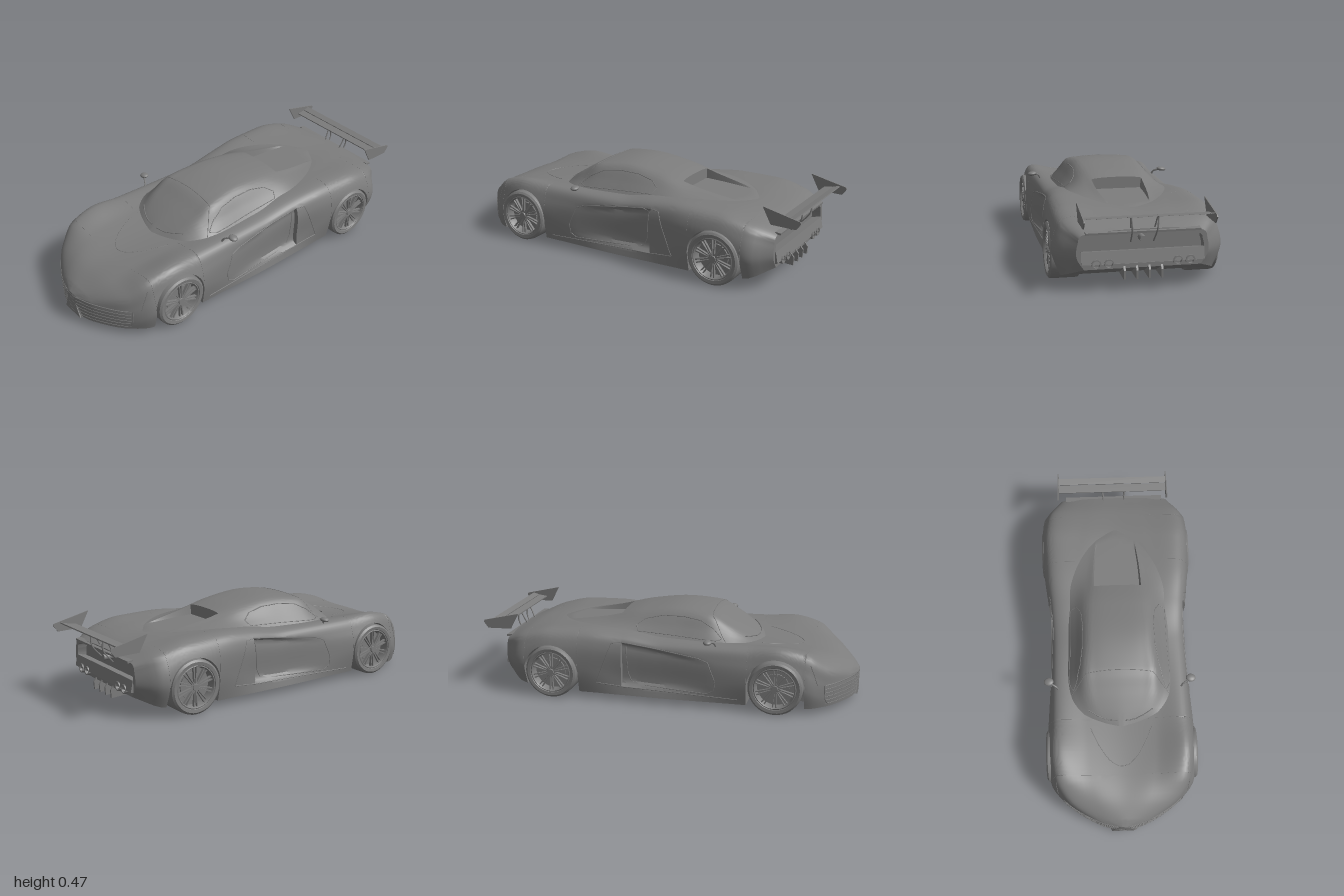
import * as THREE from 'three';
import { toCreasedNormals } from 'three/addons/utils/BufferGeometryUtils.js';

const paint = new THREE.MeshStandardMaterial({ color: 0x7c7c7c, side: THREE.DoubleSide });
const V = (x, y, z) => new THREE.Vector3(x, y, z);
const V2 = p => new THREE.Vector2(...p);
const ARCH = 0.147, AXLE_Y = 0.14, AXLES = [0.6, -0.59], WELL_X = 0.25;

// Half sections of the shell: z, then x,y of sill, waist, shoulder, crest, inner deck, and centre height
const BODY = [
  [0.998, 0.03, 0.04, 0.03, 0.09, 0.03, 0.15, 0.025, 0.156, 0.015, 0.162, 0.165],
  [0.963, 0.13, 0.037, 0.135, 0.09, 0.135, 0.15, 0.115, 0.172, 0.07, 0.19, 0.198],
  [0.85, 0.295, 0.035, 0.307, 0.09, 0.307, 0.16, 0.28, 0.235, 0.15, 0.258, 0.255],
  [0.75, 0.36, 0.035, 0.382, 0.13, 0.368, 0.225, 0.325, 0.307, 0.17, 0.288, 0.276],
  [0.6, 0.375, 0.035, 0.398, 0.16, 0.387, 0.26, 0.335, 0.336, 0.18, 0.304, 0.291],
  [0.45, 0.375, 0.035, 0.392, 0.15, 0.38, 0.25, 0.33, 0.326, 0.18, 0.31, 0.3],
  [0, 0.385, 0.035, 0.37, 0.12, 0.366, 0.25, 0.33, 0.32, 0.2, 0.335, 0.325],
  [-0.2, 0.383, 0.035, 0.375, 0.13, 0.377, 0.27, 0.335, 0.345, 0.2, 0.355, 0.33],
  [-0.4, 0.38, 0.035, 0.4, 0.16, 0.397, 0.29, 0.345, 0.362, 0.2, 0.362, 0.335],
  [-0.6, 0.38, 0.035, 0.417, 0.17, 0.405, 0.295, 0.345, 0.358, 0.18, 0.354, 0.345],
  [-0.76, 0.37, 0.06, 0.411, 0.17, 0.39, 0.27, 0.335, 0.325, 0.16, 0.33, 0.328],
  [-0.872, 0.28, 0.11, 0.315, 0.17, 0.31, 0.235, 0.285, 0.277, 0.15, 0.292, 0.295],
];
// Cabin: z, base x,y, roof edge x,y, roof height
const CABIN = [
  [0.49, 0.12, 0.28, 0.06, 0.29, 0.298],
  [0.42, 0.235, 0.3, 0.145, 0.332, 0.345],
  [0.32, 0.288, 0.303, 0.18, 0.39, 0.405],
  [0.22, 0.292, 0.305, 0.187, 0.437, 0.455],
  [0.05, 0.29, 0.308, 0.176, 0.448, 0.472],
  [-0.15, 0.295, 0.322, 0.172, 0.427, 0.45],
  [-0.35, 0.32, 0.345, 0.165, 0.382, 0.402],
  [-0.55, 0.3, 0.343, 0.14, 0.352, 0.362],
  [-0.72, 0.26, 0.31, 0.1, 0.322, 0.327],
].map(([z, bx, by, ex, ey, top]) =>
  [z, bx, by, (bx + ex) / 2, (by + ey) / 2, ex, ey, ex * 0.65, top - 0.005, top]);

// Monotone cubic interpolation of column k at z
function interp(rows, z, k) {
  const last = rows.length - 1;
  let i = 0;
  while (i < last - 1 && z < rows[i + 1][0]) i++;
  const d = j => (rows[j + 1][k] - rows[j][k]) / (rows[j + 1][0] - rows[j][0]);
  const m = j => {
    const a = d(Math.max(j - 1, 0)), b = d(Math.min(j, last - 1));
    return a * b > 0 ? 2 * a * b / (a + b) : 0;
  };
  const h = rows[i + 1][0] - rows[i][0], s = (z - rows[i][0]) / h, s2 = s * s, s3 = s2 * s;
  return (2 * s3 - 3 * s2 + 1) * rows[i][k] + (s3 - 2 * s2 + s) * h * m(i)
    + (3 * s2 - 2 * s3) * rows[i + 1][k] + (s3 - s2) * h * m(i + 1);
}
// Smooth half section at z, t = 0 at the sill and 1 on the centre line
const sections = (rows, tweak) => z => {
  const w = rows[0].length, pts = [];
  for (let k = 1; k < w - 1; k += 2) pts.push(V2([interp(rows, z, k), interp(rows, z, k + 1)]));
  const p = pts[pts.length - 1];
  pts.push(V2([0, interp(rows, z, w - 1)]), V2([-p.x, p.y]));
  const spline = new THREE.SplineCurve(pts), n = pts.length - 1;
  return t => tweak(spline.getPoint(t * (n - 1) / n), z, t);
};
const step = THREE.MathUtils.smoothstep;
// Door hollow that deepens towards a side intake
const body = sections(BODY, (p, z) => {
  const top = 0.275 - (z - 0.05) * 0.14;
  if (z < 0.27 && z > -0.21)
    p.x -= 0.025 * step(p.y, 0.08, 0.1) * (1 - step(p.y, top - 0.012, top + 0.01)) * Math.min(1, (0.27 - z) / 0.4);
  return p;
});
// Sunken engine intake behind the roof
const cabin = sections(CABIN, (p, z, t) => {
  if (z < -0.27 && z > -0.62 && t > 0.69) p.y = Math.min(p.y, 0.362 + (z + 0.27) * 0.03);
  return p;
});
// Parameter where a section reaches a value on one axis
function findT(curve, axis, value, lo, hi) {
  const rising = curve(hi)[axis] > curve(lo)[axis];
  for (let i = 0; i < 24; i++) {
    const mid = (lo + hi) / 2;
    if ((curve(mid)[axis] < value) === rising) lo = mid; else hi = mid;
  }
  return lo;
}
const onSide = (surf, z, y, hi = 0.6) => { const c = surf(z); return V(c(findT(c, 'y', y, 0, hi)).x, y, z); };
const onTop = (surf, z, x, lo = 0.5) => { const c = surf(z); return V(x, c(findT(c, 'x', Math.abs(x), lo, 1)).y, z); };
const range = (a, b, n) => Array.from({ length: n + 1 }, (_, i) => a + (b - a) * i / n);
// Polyline in z,y subdivided so that it follows a surface
const dense = pts => pts.slice(0, -1).flatMap(([z, y], i) =>
  range(0, 0.9, 9).map(s => [z + (pts[i + 1][0] - z) * s, y + (pts[i + 1][1] - y) * s]));

// Closed skin through the sections; the shell also gets wheel wells and a hollow tail
function loft(surf, stations, columns, isShell) {
  const rings = [...stations].sort((a, b) => b - a).map(z => {
    const c = surf(z), start = c(0), axle = AXLES.find(a => isShell && Math.abs(z - a) < ARCH);
    let t0 = 0, edge = start.x, top = start.y;
    if (axle !== undefined) {
      top = AXLE_Y + Math.sqrt(ARCH ** 2 - (z - axle) ** 2);
      t0 = findT(c, 'y', top, 0, 0.6);
      edge = WELL_X;
    }
    const half = [V(0, start.y, z), V(edge, start.y, z), V(edge, top, z)];
    for (const t of range(t0, 1, columns)) half.push(V(c(t).x, c(t).y, z));
    return half.concat(half.slice(0, -1).reverse().map(p => V(-p.x, p.y, p.z)));
  });
  if (isShell) for (const depth of [0, 0.05])
    rings.push(rings[stations.length - 1].map(p => V(p.x * 0.93, 0.21 + (p.y - 0.21) * 0.78, p.z + depth)));
  const flat = ring => ring.map(p => V(0, p.y, p.z));
  const all = [flat(rings[0]), ...rings, flat(rings[rings.length - 1])], n = rings[0].length, index = [];
  for (let i = 0; i < all.length - 1; i++)
    for (let j = 0; j < n - 1; j++) {
      const a = i * n + j, c = a + n;
      index.push(a, c, a + 1, a + 1, c, c + 1);
    }
  const g = new THREE.BufferGeometry().setFromPoints(all.flat());
  g.setIndex(index);
  return toCreasedNormals(g, 0.6);
}
const lathe = pts => toCreasedNormals(new THREE.LatheGeometry(pts.map(V2), 40), 0.6);
const adder = group => (name, geo) => {
  const m = new THREE.Mesh(geo, paint);
  m.name = name;
  group.add(m);
  return m;
};
function wheel(width) {
  const g = new THREE.Group(), h = width / 2, add = adder(g), q = -Math.PI / 2;
  add('tyre', lathe([[0.1, -h], [0.128, -h], [0.138, -h + 0.008], [0.14, -h + 0.02], [0.14, h - 0.02],
    [0.138, h - 0.008], [0.128, h], [0.112, h - 0.002], [0.11, h - 0.006]]).rotateZ(q));
  add('rim', lathe([[0.11, h - 0.006], [0.105, h - 0.004], [0.1, h - 0.012], [0.097, h - 0.05], [0, h - 0.05]]).rotateZ(q));
  add('innerFace', lathe([[0.1, -h], [0, -h + 0.01]]).rotateZ(q));
  add('brakeDisc', new THREE.CylinderGeometry(0.07, 0.07, 0.008, 32).rotateZ(q).translate(h - 0.042, 0, 0));
  add('hub', new THREE.CylinderGeometry(0.016, 0.022, 0.02, 20).rotateZ(q).translate(h - 0.016, 0, 0));
  for (let i = 0; i < 10; i++)
    for (const s of [-1, 1])
      add('spoke', new THREE.BoxGeometry(0.014, 0.09, 0.006).rotateX(s * 0.06).translate(h - 0.018, 0.058, s * 0.006))
        .rotation.x = i * Math.PI / 5;
  return g;
}

export function createModel() {
  const car = new THREE.Group(), add = adder(car);
  const box = (name, w, h, d, x, y, z, tilt = 0) =>
    add(name, new THREE.BoxGeometry(w, h, d).rotateX(tilt).translate(x, y, z));
  const rod = (name, pts, r = 0.002, closed = false) => add(name, new THREE.TubeGeometry(
    new THREE.CatmullRomCurve3(pts, closed, 'centripetal'), Math.max(24, pts.length * 2), r, 6, closed));
  // Flat plate drawn in z,y and given a thickness in x
  const plate = (name, pts, x, t) => add(name, new THREE.ExtrudeGeometry(new THREE.Shape(pts.map(V2)),
    { depth: t, bevelEnabled: false }).rotateY(-Math.PI / 2).translate(x + t / 2, 0, 0));
  const flip = pts => pts.map(p => V(-p.x, p.y, p.z));
  const pair = (name, pts, r, closed) => [pts, flip(pts)].forEach(p => rod(name, p, r, closed));

  // Shell and cabin
  const archZ = AXLES.flatMap(a => [...range(0.05, Math.PI - 0.05, 20).map(q => a + ARCH * Math.cos(q)),
    ...[-1, 1].flatMap(s => [a + s * (ARCH + 0.0005), a + s * (ARCH - 0.0003)])]);
  add('bodyShell', loft(body, [...range(0.998, -0.872, 74), ...range(0.994, 0.94, 9), ...archZ, -0.2095, -0.2105], 36, true));
  add('cabin', loft(cabin, [...range(0.49, -0.72, 56), -0.2695, -0.2705], 36, false));

  // Wheels
  AXLES.forEach((z, i) => [1, -1].forEach(s => {
    const w = wheel(i ? 0.155 : 0.137);
    w.name = i ? 'rearWheel' : 'frontWheel';
    w.position.set(s * (i ? 0.34 : 0.332), AXLE_Y, z);
    if (s < 0) w.rotation.y = Math.PI;
    car.add(w);
  }));

  // Grille slats wrapped round the nose, their end frames, and the central wedge
  for (const y of [0.052, 0.072, 0.092, 0.112, 0.132, 0.152]) {
    const side = range(0, 1, 12).map(s => onSide(body, 0.996 - 0.148 * s * s, y));
    rod('grilleSlat', [...side.slice().reverse(), ...flip(side)], y > 0.15 ? 0.003 : 0.0018);
  }
  pair('grilleEnd', dense([[0.842, 0.152], [0.846, 0.08], [0.86, 0.045]]).map(p => onSide(body, ...p)), 0.003);
  const wedge = new THREE.Shape([[-0.015, 0.152], [-0.065, 0.035], [0.065, 0.035], [0.015, 0.152]].map(V2));
  add('noseWedge', new THREE.ExtrudeGeometry(wedge, { depth: 0.03, bevelEnabled: false }).translate(0, 0, 0.967));
  pair('wedgeStrut', [V(0.018, 0.15, 0.995), V(0.067, 0.036, 0.985)], 0.005);

  // Panel seams
  rod('bonnetSeam', range(-1, 1, 30).map(s => onTop(body, 0.7 - 0.2 * s * s, 0.16 * s)));
  pair('wingSeam', dense([[0.81, 0.16], [0.79, 0.22], [0.77, 0.27]]).map(p => onSide(body, ...p)));
  pair('doorSeam', dense([[0.25, 0.245], [0.29, 0.15], [0.285, 0.1], [0.25, 0.08], [-0.08, 0.092], [-0.16, 0.105],
    [-0.18, 0.15], [-0.19, 0.295], [-0.165, 0.312], [0.2, 0.262], [0.25, 0.245]]).map(p => onSide(body, ...p)), 0.0025, true);
  pair('intakeEdge', dense([[-0.212, 0.318], [-0.26, 0.315], [-0.345, 0.095], [-0.2, 0.08], [0.3, 0.065], [0.42, 0.06]])
    .map(p => onSide(body, ...p)), 0.0025);
  pair('windowSeam', dense([[0.3, 0.34], [0.25, 0.385], [0.18, 0.42], [0.08, 0.433], [-0.03, 0.43], [-0.12, 0.41], [-0.165, 0.38],
    [-0.15, 0.355], [0.05, 0.345], [0.27, 0.332], [0.3, 0.34]]).map(p => onSide(cabin, ...p, 0.5)), 0.0022, true);
  rod('windscreenTop', range(-1, 1, 24).map(s => onTop(cabin, 0.225 + 0.012 * s * s, 0.175 * s, 0)), 0.002);
  pair('screenPillarSeam', range(0, 1, 16).map(s => onTop(cabin, 0.237 + 0.085 * s, 0.175 + 0.085 * s, 0)));
  pair('wiper', [[0.462, 0.02], [0.455, 0.07], [0.435, 0.12], [0.405, 0.17]]
    .map(([z, x]) => onTop(cabin, z, x, 0).add(V(0, 0.004, 0.003))), 0.003);

  // Door mirrors
  for (const s of [1, -1]) {
    rod('mirrorArm', [V(s * 0.325, 0.315, 0.285), V(s * 0.34, 0.342, 0.275), V(s * 0.375, 0.352, 0.255)], 0.005);
    add('mirror', new THREE.SphereGeometry(1, 20, 14).scale(0.026, 0.012, 0.022).rotateZ(-s * 0.12)
      .translate(s * 0.378, 0.355, 0.25));
  }

  // Rear wing
  box('wingBlade', 0.615, 0.006, 0.045, -0.007, 0.362, -0.9, 0.12);
  box('wingFlap', 0.615, 0.006, 0.036, -0.007, 0.371, -0.943, 0.25);
  for (const s of [1, -1]) {
    plate('wingEndPlate', [[-0.8, 0.42], [-0.995, 0.375], [-1, 0.365], [-0.975, 0.332], [-0.845, 0.335]], s * 0.308 - 0.007, 0.006);
    rod('wingSupport', [V(s * 0.055, 0.28, -0.85), V(s * 0.06, 0.315, -0.868), V(s * 0.065, 0.362, -0.89)], 0.004);
    rod('wingBrace', [V(s * 0.055, 0.23, -0.85), V(s * 0.06, 0.3, -0.905), V(s * 0.065, 0.362, -0.905)], 0.004);
  }

  // Tail lip, bumper, lamp, exhausts and diffuser
  box('tailLip', 0.55, 0.01, 0.03, 0, 0.285, -0.873, -0.12);
  box('tailBumper', 0.59, 0.06, 0.05, 0, 0.162, -0.856, 0.2);
  add('tailLamp', new THREE.CylinderGeometry(0.016, 0.016, 0.05, 20).rotateX(Math.PI / 2).translate(0, 0.245, -0.85));
  for (const x of [-0.225, -0.165, 0.165, 0.225])
    add('exhaust', lathe([[0, 0.03], [0.017, 0.03], [0.017, 0.06], [0.023, 0.06], [0.023, 0]])
      .rotateX(-Math.PI / 2).translate(x, 0.138, -0.83));
  for (const x of [-0.09, -0.03, 0.03, 0.09])
    plate('diffuserFin', [[-0.77, 0.065], [-0.885, 0.058], [-0.888, 0.1], [-0.86, 0.135], [-0.8, 0.12]], x, 0.01);
  return car;
}
